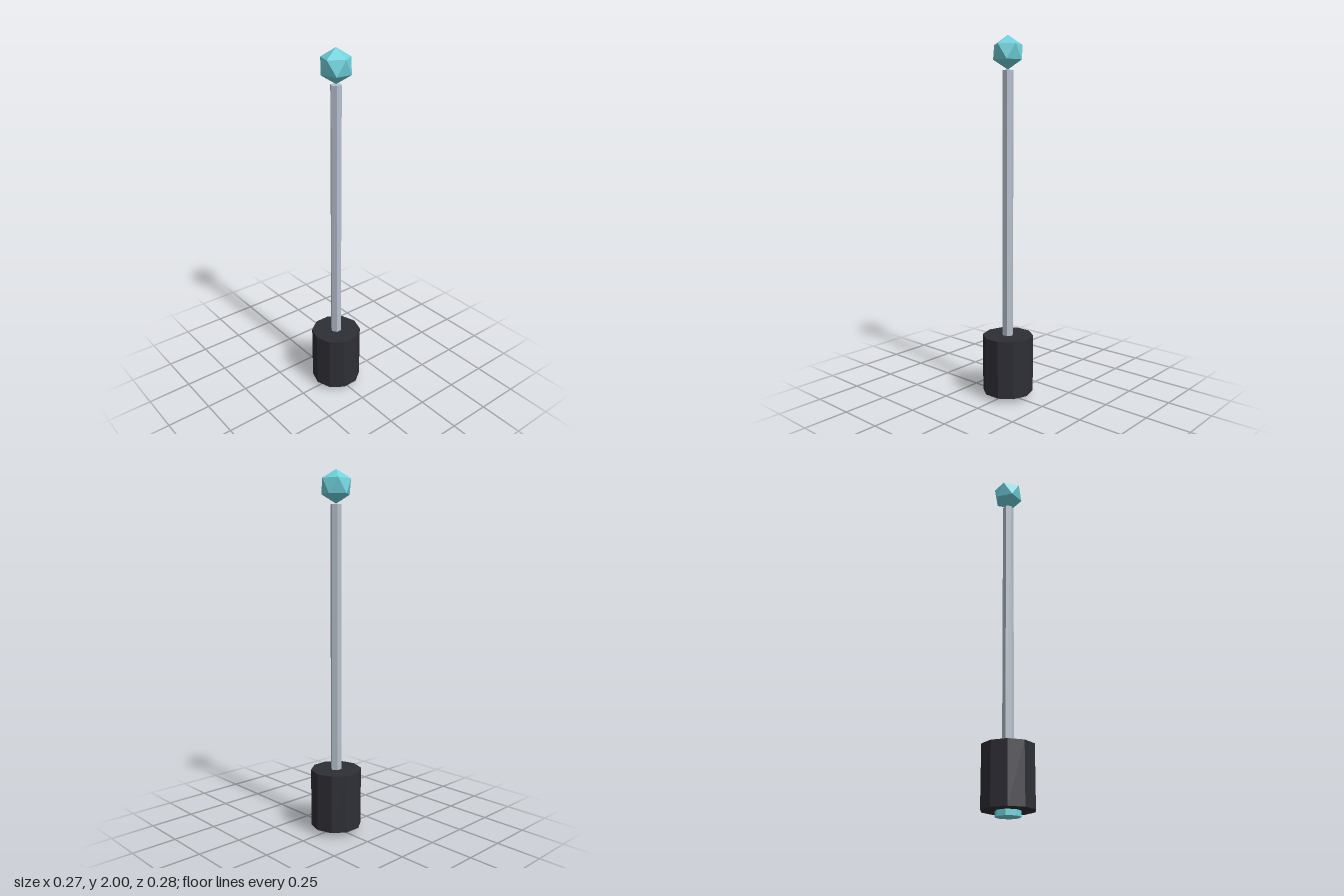
import * as THREE from 'three';

const flat = (name, color) => {
  const m = new THREE.MeshStandardMaterial({ color, flatShading: true });
  m.name = name;
  return m;
};

export function createModel() {
  const group = new THREE.Group();
  group.name = 'rodWithGem';

  const teal = flat('teal', 0x70d2dc);
  const charcoal = flat('charcoal', 0x2e2e36);
  const steel = flat('steel', 0xb6c0cc);

  const add = (name, geometry, material) => {
    const mesh = new THREE.Mesh(geometry, material);
    mesh.name = name;
    group.add(mesh);
  };

  // Upright prism between two heights, with a corner facing +z
  const prism = (radius, sides, y0, y1) =>
    new THREE.CylinderGeometry(radius, radius, y1 - y0, sides).translate(0, (y0 + y1) / 2, 0);

  add('bottomCap', prism(0.067, 8, 0, 0.032), teal);
  add('handle', prism(0.142, 10, 0.03, 0.355), charcoal);
  add('rod', prism(0.031, 6, 0.35, 1.817), steel);

  // Gem balanced on a point, with an upper-ring corner towards +x
  const golden = (1 + Math.sqrt(5)) / 2;
  const gem = new THREE.IcosahedronGeometry(0.09, 0)
    .rotateZ(-Math.atan(1 / golden))
    .translate(0, 1.91, 0);
  add('gem', gem, teal);

  return group;
}
